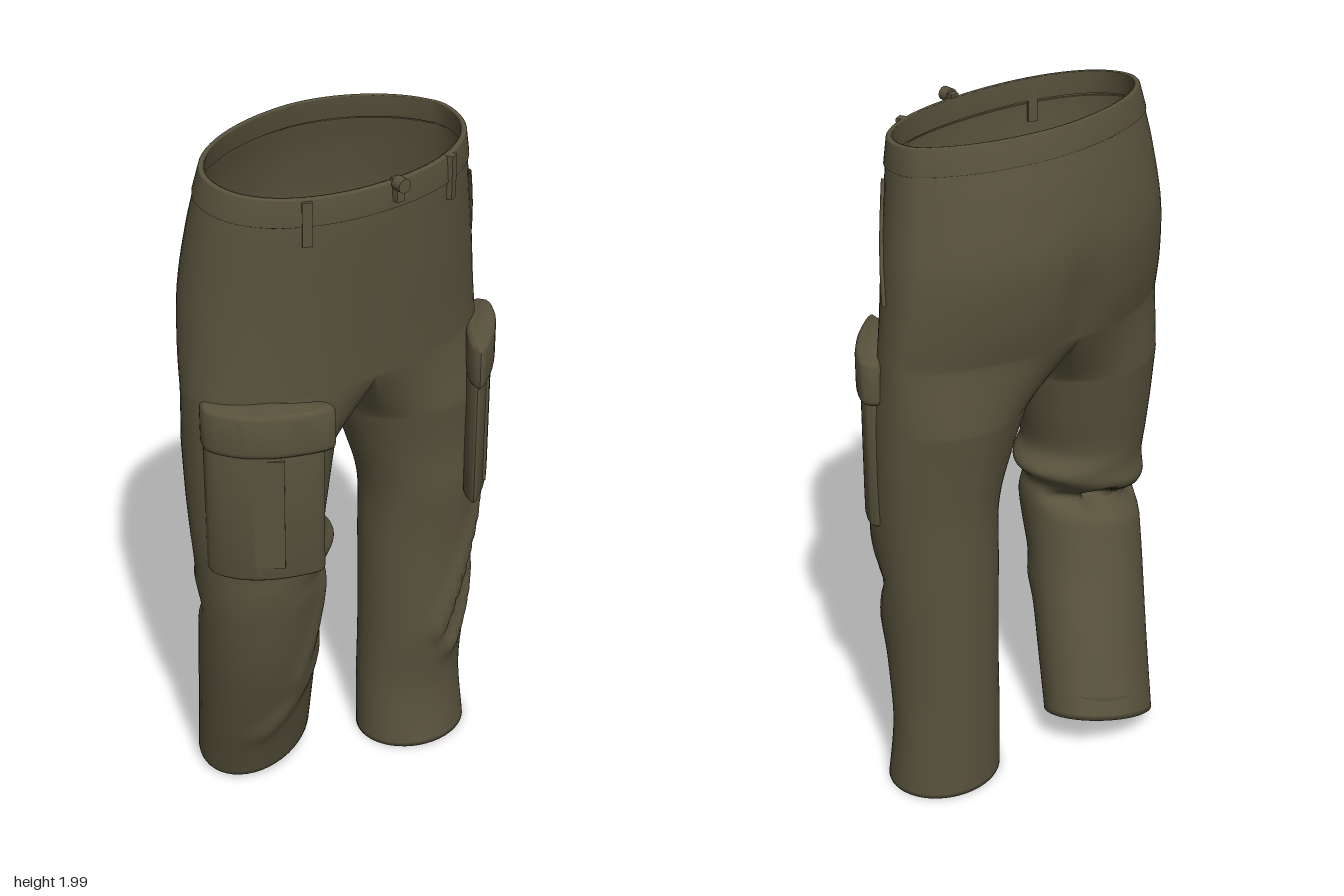
import * as THREE from 'three';
import { mergeVertices, toCreasedNormals } from 'three/addons/utils/BufferGeometryUtils.js';

const M = 36, K = 18, SPLIT = 0.8; // columns on the outside, columns on the inner thigh, split angle
const lerp = THREE.MathUtils.lerp;
const spow = (v, e) => Math.sign(v) * Math.abs(v) ** e;

// hip sections: y, right x, left x, front z, back z, centre seam x
const HIPS = [
  [1.975, -0.4, 0.37, 0.243, -0.2, 0],
  [1.9, -0.418, 0.385, 0.247, -0.218, 0],
  [1.8, -0.435, 0.402, 0.243, -0.242, 0],
  [1.65, -0.455, 0.43, 0.235, -0.264, 0],
  [1.5, -0.468, 0.445, 0.226, -0.247, -0.015],
  [1.38, -0.476, 0.455, 0.22, -0.215, -0.028],
];
// leg sections: y, inner x, outer x, front z, back z, slope along x, slope along z
const LEGS = {
  '1': [
    [1.2, 0.0, 0.46, 0.213, -0.17, 0, 0],
    [1.05, 0.055, 0.46, 0.2, -0.145, 0, 0],
    [0.9, 0.095, 0.455, 0.2, -0.13, 0, 0],
    [0.7, 0.103, 0.445, 0.185, -0.13, 0, 0],
    [0.4, 0.107, 0.43, 0.175, -0.127, 0, 0],
    [0.2, 0.105, 0.43, 0.155, -0.124, 0, 0],
    [0.008, 0.1, 0.44, 0.175, -0.122, 0, 0],
  ],
  '-1': [
    [1.2, -0.05, -0.478, 0.213, -0.175, 0, 0],
    [1.05, -0.08, -0.48, 0.21, -0.15, 0, 0],
    [0.93, -0.1, -0.478, 0.21, -0.13, 0, 0],
    [0.865, -0.065, -0.474, 0.205, -0.125, 0.02, 0],
    [0.8, -0.108, -0.468, 0.2, -0.12, 0.05, -0.02],
    [0.72, -0.095, -0.46, 0.19, -0.12, 0.1, -0.08],
    [0.53, -0.085, -0.437, 0.15, -0.165, 0.2, -0.16],
    [0.3, -0.05, -0.4, 0.075, -0.225, 0.3, -0.25],
    [0.08, -0.016, -0.365, 0.0, -0.285, 0.3, -0.25],
  ],
};
// cloth folds: side, front or back, start x y, end x y, height, width
const FOLDS = [
  [1, 1, 0.44, 0.86, 0.25, 0.42, 0.024, 0.032],
  [1, 1, 0.44, 0.62, 0.3, 0.34, 0.018, 0.035],
  [1, 1, 0.42, 0.7, 0.29, 0.4, -0.024, 0.022],
  [-1, 1, -0.12, 0.78, -0.22, 0.42, 0.014, 0.035],
  [-1, 1, -0.1, 0.5, -0.3, 0.22, 0.014, 0.035],
  [-1, -1, -0.46, 0.78, -0.1, 0.84, 0.01, 0.03],
  [-1, -1, -0.42, 0.7, -0.24, 0.755, -0.06, 0.028],
  [-1, -1, -0.24, 0.755, -0.1, 0.78, -0.05, 0.03],
];

// smooth interpolation through a list of sections
function section(keys, t) {
  const n = keys.length - 1, i = Math.min(Math.floor(t), n - 1), f = t - i;
  const [p, a, b, q] = [Math.max(i - 1, 0), i, i + 1, Math.min(i + 2, n)].map((k) => keys[k]);
  return a.map((v, k) => v + 0.5 * f * (b[k] - p[k] + f * (2 * p[k] - 5 * v + 4 * b[k] - q[k] + f * (3 * (v - b[k]) + q[k] - p[k]))));
}

function hipPoint(side, angle, t, out = 0) {
  const [y, xr, xl, zf, zb, seam] = section(HIPS, t);
  const s = Math.max(0, Math.sin(angle)), c = Math.cos(angle);
  // the back is rounder than the front, most of all on the left
  const e = c > 0 ? 0.94 : lerp(0.94, side > 0 ? 1.14 : 1.0, Math.min(1, -c * 3));
  const x = seam + ((side > 0 ? xl : xr) - seam + side * out) * spow(s, e);
  let z = (zf + zb) / 2 + ((zf - zb) / 2 + out) * spow(c, e);
  // crease between the seat halves
  if (c < 0) z += 0.022 * Math.exp(-(((x - seam) / 0.07) ** 2) - ((y - 1.5) / 0.16) ** 2);
  const tilt = THREE.MathUtils.clamp((y - 1.5) / 0.4, 0, 1);
  return new THREE.Vector3(x, y - 0.12 * z * tilt, z);
}

function legPoint(side, angle, t, scale = 1, lift = 0) {
  const [y, xi, xo, zf, zb, a, b] = section(LEGS[side], t);
  const cx = (xi + xo) / 2, cz = (zf + zb) / 2;
  const dx = ((xo - xi) / 2) * Math.sin(angle), dz = ((zf - zb) / 2) * Math.cos(angle);
  const p = new THREE.Vector3(cx + dx * scale, y + a * dx + b * dz + lift, cz + dz * scale);
  let push = 0;
  for (const [s, face, x0, y0, x1, y1, height, width] of FOLDS) {
    const facing = Math.cos(angle) * face;
    if (s !== side || facing <= 0) continue;
    const ex = x1 - x0, ey = y1 - y0;
    const u = THREE.MathUtils.clamp(((p.x - x0) * ex + (p.y - y0) * ey) / (ex * ex + ey * ey), 0, 1);
    const d = Math.hypot(p.x - x0 - u * ex, p.y - y0 - u * ey);
    push += face * height * Math.min(1, facing * 1.5) * Math.exp(-((d / width) ** 2));
  }
  p.z += push;
  return p;
}

// joins rows of points into triangles
function skin(rows, side, closed, tris) {
  for (let i = 0; i < rows.length - 1; i++) {
    const n = rows[i].length;
    for (let j = 0; j < (closed ? n : n - 1); j++) {
      const k = (j + 1) % n, a = rows[i][j], b = rows[i + 1][j], c = rows[i + 1][k], d = rows[i][k];
      tris.push(...(side > 0 ? [a, b, c, a, c, d] : [a, c, b, a, d, c]));
    }
  }
}
function smooth(tris) {
  const g = mergeVertices(new THREE.BufferGeometry().setFromPoints(tris), 1e-5);
  g.computeVertexNormals();
  return g;
}

const hipRow = (side, t, out) => Array.from({ length: M + 1 }, (_, j) => hipPoint(side, (Math.PI * j) / M, t, out));
function legRow(side, t, scale, lift) {
  return Array.from({ length: M + K }, (_, j) => legPoint(side, j <= M
    ? -SPLIT + ((Math.PI + 2 * SPLIT) * j) / M
    : Math.PI + SPLIT + ((Math.PI - 2 * SPLIT) * (j - M)) / K, t, scale, lift));
}

function trouserGeometry() {
  const tris = [];
  for (const side of [1, -1]) {
    const hips = [], legs = [], last = HIPS.length - 1, end = LEGS[side].length - 1;
    for (let i = 0; i <= last * 6; i++) hips.push(hipRow(side, i / 6));
    skin(hips, side, false, tris);
    // crotch curve closes the lowest hip row into a loop
    const top = hips[hips.length - 1].slice(), front = top[0], back = top[M];
    for (let k = 1; k < K; k++) {
      const p = back.clone().lerp(front, k / K);
      p.y -= 0.1 * Math.sin((Math.PI * k) / K) ** 0.7;
      top.push(p);
    }
    const first = legRow(side, 0);
    for (let i = 0; i < 5; i++) legs.push(top.map((p, j) => p.clone().lerp(first[j], i / 5)));
    for (let i = 0; i <= end * 9; i++) legs.push(legRow(side, i / 9));
    // turned-in hem
    legs.push(legRow(side, end, 0.9, 0.003), legRow(side, end, 0.88, 0.07));
    skin(legs, side, true, tris);
  }
  return smooth(tris);
}

function waistbandGeometry() {
  const tris = [];
  const profile = [[0.9, -0.012], [0.03, -0.012], [0, -0.006], [0, 0.002], [0.08, 0.004], [0.95, 0.004], [1, -0.002]];
  for (const side of [1, -1]) skin(profile.map(([t, out]) => hipRow(side, t, out)), side, false, tris);
  return smooth(tris);
}

// padded slab with a plan outline of x, z points, between two heights
function slab(outline, y0, y1) {
  const bevel = 0.02;
  const corners = outline.map(([x, z]) => new THREE.Vector3(x, -z, 0));
  const curve = new THREE.CatmullRomCurve3(corners, true, 'centripetal');
  const shape = new THREE.Shape(curve.getPoints(48).slice(1).map((p) => new THREE.Vector2(p.x, p.y)));
  const g = new THREE.ExtrudeGeometry(shape, {
    depth: y1 - y0 - 2 * bevel, bevelThickness: bevel, bevelSize: bevel * 0.7, bevelOffset: -bevel * 0.7, bevelSegments: 4,
  });
  return toCreasedNormals(g.rotateX(-Math.PI / 2).translate(0, y0 + bevel, 0), 0.8);
}

export function createModel() {
  const model = new THREE.Group();
  model.name = 'cargoTrousers';
  const cloth = new THREE.MeshStandardMaterial({ color: 0x59533d, side: THREE.DoubleSide });
  cloth.name = 'olive cloth';
  const add = (name, geometry, parent = model) => {
    const mesh = new THREE.Mesh(geometry, cloth);
    mesh.name = name;
    parent.add(mesh);
    return mesh;
  };

  add('trousers', trouserGeometry());
  add('waistband', waistbandGeometry());

  // cargo pockets wrapped round the front outer thighs
  const pockets = [
    ['left', [[0.455, 0.04], [0.485, 0.07], [0.46, 0.13], [0.415, 0.185], [0.35, 0.245], [0.28, 0.285], [0.278, 0.245], [0.32, 0.175], [0.4, 0.08]], [-0.002, -0.008], 0.84, 0.82],
    ['right', [[-0.46, 0.04], [-0.487, 0.09], [-0.46, 0.155], [-0.41, 0.208], [-0.33, 0.255], [-0.21, 0.285], [-0.207, 0.245], [-0.3, 0.18], [-0.4, 0.08]], [-0.008, -0.008], 0.9, -0.65],
  ];
  for (const [label, plan, [sx, sz], scale, turn] of pockets) {
    const pocket = new THREE.Group();
    pocket.name = label + 'CargoPocket';
    model.add(pocket);
    const mx = (plan[1][0] + plan[5][0]) / 2, mz = (plan[1][1] + plan[5][1]) / 2;
    const body = plan.map(([x, z]) => [mx + sx + (x - mx) * scale, mz + sz + (z - mz) * scale]);
    add('pocketBody', slab(body, 0.88, 1.3), pocket);
    add('pocketFlap', slab(plan, 1.262, 1.39), pocket);
    // raised pleat
    const pleat = add('pocketPleat', new THREE.BoxGeometry(0.08, 0.33, 0.03), pocket);
    pleat.position.set((body[3][0] + body[4][0]) / 2, 1.09, (body[3][1] + body[4][1]) / 2);
    pleat.position.x -= Math.sin(turn) * 0.01;
    pleat.position.z -= Math.cos(turn) * 0.01;
    pleat.rotation.y = turn;
  }

  // slanted hand pocket edge
  const slit = [0, 1, 2, 3, 4].map((i) => hipPoint(1, lerp(1.02, 1.4, i / 4), lerp(1.5, 3.65, i / 4), 0.001));
  add('handPocketEdge', new THREE.TubeGeometry(new THREE.CatmullRomCurve3(slit), 16, 0.008, 6));

  // belt loops and front button
  for (const [x, y, z, turn] of [[-0.24, 1.885, 0.206, -0.45], [0.21, 1.89, 0.216, 0.45]]) {
    const loop = add('beltLoop', new THREE.BoxGeometry(0.026, 0.12, 0.022));
    loop.position.set(x, y, z);
    loop.rotation.y = turn;
  }
  const button = add('frontButton', new THREE.CylinderGeometry(0.019, 0.019, 0.03, 16).rotateX(Math.PI / 2));
  button.position.set(0.005, 1.945, 0.27);
  add('frontTab', new THREE.BoxGeometry(0.025, 0.06, 0.03)).position.set(0.008, 1.925, 0.252);

  return model;
}
